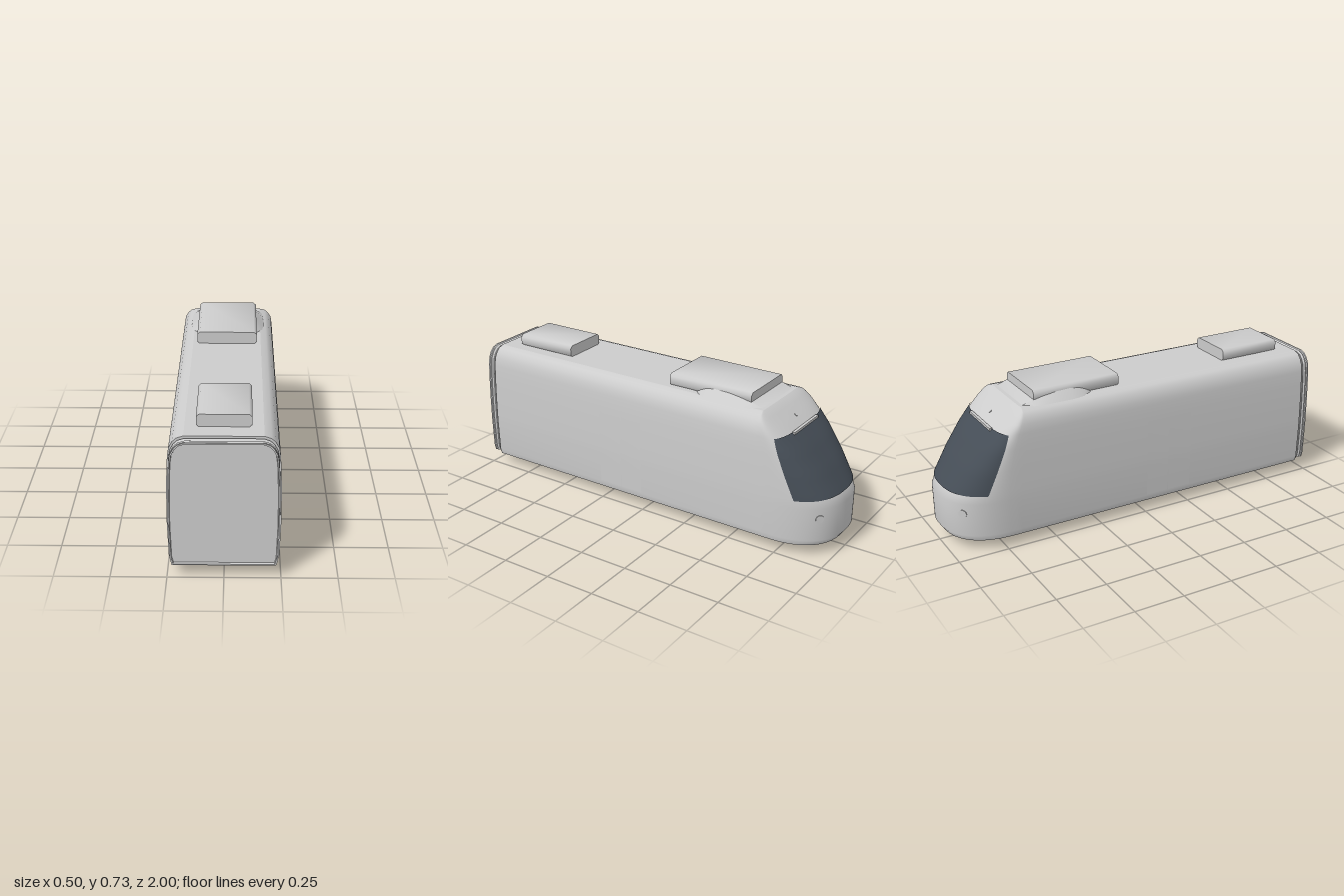
import * as THREE from 'three';
import { toCreasedNormals } from 'three/addons/utils/BufferGeometryUtils.js';

// Hull levels: height, half width, z where the nose begins, z of the nose tip, plan squareness
const LEVELS = [
  [0.055, 0.235, -0.70, -0.978, 2.4],
  [0.085, 0.243, -0.70, -0.998, 2.4],
  [0.25, 0.248, -0.70, -1.0, 2.4],
  [0.30, 0.248, -0.70, -0.975, 2.5],
  [0.40, 0.247, -0.69, -0.905, 2.7],
  [0.50, 0.244, -0.67, -0.82, 3.0],
  [0.57, 0.240, -0.65, -0.748, 3.2],
  [0.61, 0.234, -0.64, -0.70, 3.2],
  [0.64, 0.218, -0.63, -0.665, 3.2],
  [0.657, 0.20, -0.625, -0.643, 3.2],
  [0.667, 0.17, -0.62, -0.625, 3.2],
];
const REAR = 0.95;

function levelAt(y) {
  let i = 0;
  while (i < LEVELS.length - 2 && y > LEVELS[i + 1][0]) i++;
  const a = LEVELS[i], b = LEVELS[i + 1], k = (y - a[0]) / (b[0] - a[0]);
  return a.map((v, j) => v + (b[j] - v) * k);
}

// Point on the nose; t runs from 0 (+x side) to PI (-x side)
function nosePoint(y, t) {
  const [, w, s, tip, n] = levelAt(y);
  const c = Math.cos(t), q = Math.max(0, Math.sin(t));
  return new THREE.Vector3(Math.sign(c) * w * Math.abs(c) ** (2 / n), y, s + (tip - s) * q ** (2 / n));
}

function noseNormal(y, t) {
  const du = nosePoint(y, t + 0.01).sub(nosePoint(y, t - 0.01));
  const dv = nosePoint(y + 0.005, t).sub(nosePoint(y - 0.005, t));
  return du.cross(dv).normalize();
}

// Surface from rows of points; the outside is column direction x row direction
function grid(rows) {
  const n = rows[0].length, index = [];
  for (let r = 0; r < rows.length - 1; r++) {
    for (let c = 0; c < n - 1; c++) {
      const a = r * n + c;
      index.push(a, a + 1, a + n, a + 1, a + n + 1, a + n);
    }
  }
  const g = new THREE.BufferGeometry().setFromPoints(rows.flat());
  g.setIndex(index);
  g.computeVertexNormals();
  return g;
}

function hullRow([y, w, s]) {
  const side = (x) => [new THREE.Vector3(x, y, REAR), new THREE.Vector3(x, y, s + 0.03)];
  const nose = [];
  for (let i = 0; i <= 48; i++) nose.push(nosePoint(y, (i / 48) * Math.PI));
  return [...side(w), ...nose, ...side(-w).reverse()];
}

// Flat cap spanning between mirrored points of a hull row
function cap(row, up) {
  const rows = [];
  for (let i = 0; i < row.length / 2; i++) {
    const pair = [row[row.length - 1 - i], row[i]];
    rows.push(up ? pair : pair.reverse());
  }
  return grid(rows);
}

// Rear cross-section, counter-clockwise seen from the +z end
function ring(z, inset) {
  const half = LEVELS.map(([y, w]) => [w * (1 - inset / 0.248), 0.361 + (y - 0.361) * (1 - inset / 0.306)]);
  const pts = [...half, ...half.map(([x, y]) => [-x, y]).reverse(), half[0]];
  return pts.map(([x, y]) => new THREE.Vector3(x, y, z));
}

// Long box with chamfered edges, from z0 to z1
function chamferBox(hw, y0, y1, z0, z1, c) {
  const s = new THREE.Shape([
    [-hw + c, y0], [hw - c, y0], [hw, y0 + c], [hw, y1 - c],
    [hw - c, y1], [-hw + c, y1], [-hw, y1 - c], [-hw, y0 + c],
  ].map(([x, y]) => new THREE.Vector2(x, y)));
  const g = new THREE.ExtrudeGeometry(s, { depth: z1 - z0, bevelEnabled: false });
  g.translate(0, 0, z0);
  return toCreasedNormals(g, 0.9);
}

export function createModel() {
  const model = new THREE.Group();
  model.name = 'tramCar';
  const grey = new THREE.MeshStandardMaterial({ color: 0xcccccc, side: THREE.DoubleSide });
  grey.name = 'body grey';
  const glass = new THREE.MeshStandardMaterial({ color: 0x454d56, side: THREE.DoubleSide });
  glass.name = 'dark glass';
  const add = (name, geometry, material = grey) => {
    const m = new THREE.Mesh(geometry, material);
    m.name = name;
    model.add(m);
    return m;
  };

  // Hull with rounded nose, roof and floor
  const rows = LEVELS.map(hullRow);
  add('hull', grid(rows));
  add('roof', cap(rows[rows.length - 1], true));
  add('floor', cap(rows[0], false));

  // Ribbed gangway frame and recessed end panel
  const ribs = [[0.95, 0], [0.95, 0.014], [0.96, 0.006], [0.97, 0.012], [0.98, 0.007],
    [0.988, 0.012], [0.992, 0.008], [1, 0.008], [1, 0.014], [0.988, 0.016]];
  add('gangwayFrame', toCreasedNormals(grid(ribs.map(([z, i]) => ring(z, i))), 0.5));
  const panel = new THREE.ShapeGeometry(new THREE.Shape(ring(0, 0.016).slice(0, -1).map((p) => new THREE.Vector2(p.x, p.y))));
  add('endPanel', panel.translate(0, 0, 0.988));

  // Windscreen wrapped round the nose, its side edges raked
  const screen = [];
  for (const y of [0.292, 0.3, 0.325, 0.35, 0.375, 0.4, 0.425, 0.45, 0.475, 0.5, 0.525, 0.55, 0.567]) {
    const [, , s, tip, n] = levelAt(y);
    const edge = -0.832 + ((y - 0.292) / 0.275) * 0.12;
    const t0 = Math.asin(((edge - s) / (tip - s)) ** (n / 2));
    const row = [];
    for (let i = 0; i <= 40; i++) {
      const t = t0 + (i / 40) * (Math.PI - 2 * t0);
      row.push(nosePoint(y, t).addScaledVector(noseNormal(y, t), 0.005));
    }
    screen.push(row);
  }
  add('windscreen', grid(screen), glass);

  // Wiper bar and marker lamp above the windscreen
  add('wiperBar', new THREE.BoxGeometry(0.24, 0.012, 0.014)).position.set(0, 0.567, -0.757);
  const lampOn = (name, y, t, r) => {
    const lamp = add(name, new THREE.CylinderGeometry(r, r, 0.006, 20));
    lamp.position.copy(nosePoint(y, t));
    lamp.quaternion.setFromUnitVectors(new THREE.Vector3(0, 1, 0), noseNormal(y, t));
  };
  lampOn('markerLamp', 0.605, Math.PI / 2, 0.008);

  // Headlights
  const lightT = Math.asin(0.8 ** 1.2);
  lampOn('leftHeadlight', 0.2, lightT, 0.02);
  lampOn('rightHeadlight', 0.2, Math.PI - lightT, 0.02);

  // Roof equipment boxes
  add('frontRoofBox', chamferBox(0.15, 0.665, 0.727, -0.55, -0.1, 0.013));
  add('rearRoofBox', chamferBox(0.12, 0.665, 0.725, 0.53, 0.86, 0.013));

  // Sloping fairing either side of the front roof box: z, half width, top height
  const fairing = [[-0.25, 0.15, 0.667], [-0.275, 0.17, 0.685], [-0.31, 0.182, 0.7], [-0.36, 0.19, 0.707],
    [-0.43, 0.19, 0.705], [-0.5, 0.188, 0.695], [-0.56, 0.18, 0.682], [-0.61, 0.15, 0.666]]
    .map(([z, w, top]) => [[-w, 0.664], [-0.148, top], [0.148, top], [w, 0.664]]
      .map(([x, y]) => new THREE.Vector3(x, y, z)));
  add('roofFairing', toCreasedNormals(grid(fairing), 0.5));

  // Double doors on both sides, two leaves each
  for (const side of [1, -1]) {
    for (const [z0, z1] of [[0.133, 0.26], [0.01, 0.129]]) {
      const leaf = [0.09, 0.17, 0.25, 0.3, 0.4, 0.49].map((y) => {
        const x = side * (levelAt(y)[1] + 0.0015);
        const pair = [new THREE.Vector3(x, y, z1), new THREE.Vector3(x, y, z0)];
        return side > 0 ? pair : pair.reverse();
      });
      add(side > 0 ? 'leftDoorLeaf' : 'rightDoorLeaf', grid(leaf));
    }
    // Flanged wheels
    for (const z of [-0.34, -0.68]) {
      const tread = add('wheel', new THREE.CylinderGeometry(0.048, 0.048, 0.022, 28));
      tread.position.set(side * 0.143, 0.055, z);
      const flange = add('wheelFlange', new THREE.CylinderGeometry(0.055, 0.055, 0.01, 28));
      flange.position.set(side * 0.137, 0.055, z);
      tread.rotation.z = flange.rotation.z = Math.PI / 2;
    }
  }

  // Bogie plate between the wheels
  add('bogiePlate', new THREE.BoxGeometry(0.26, 0.01, 0.34)).position.set(0, 0.055, -0.51);
  return model;
}
